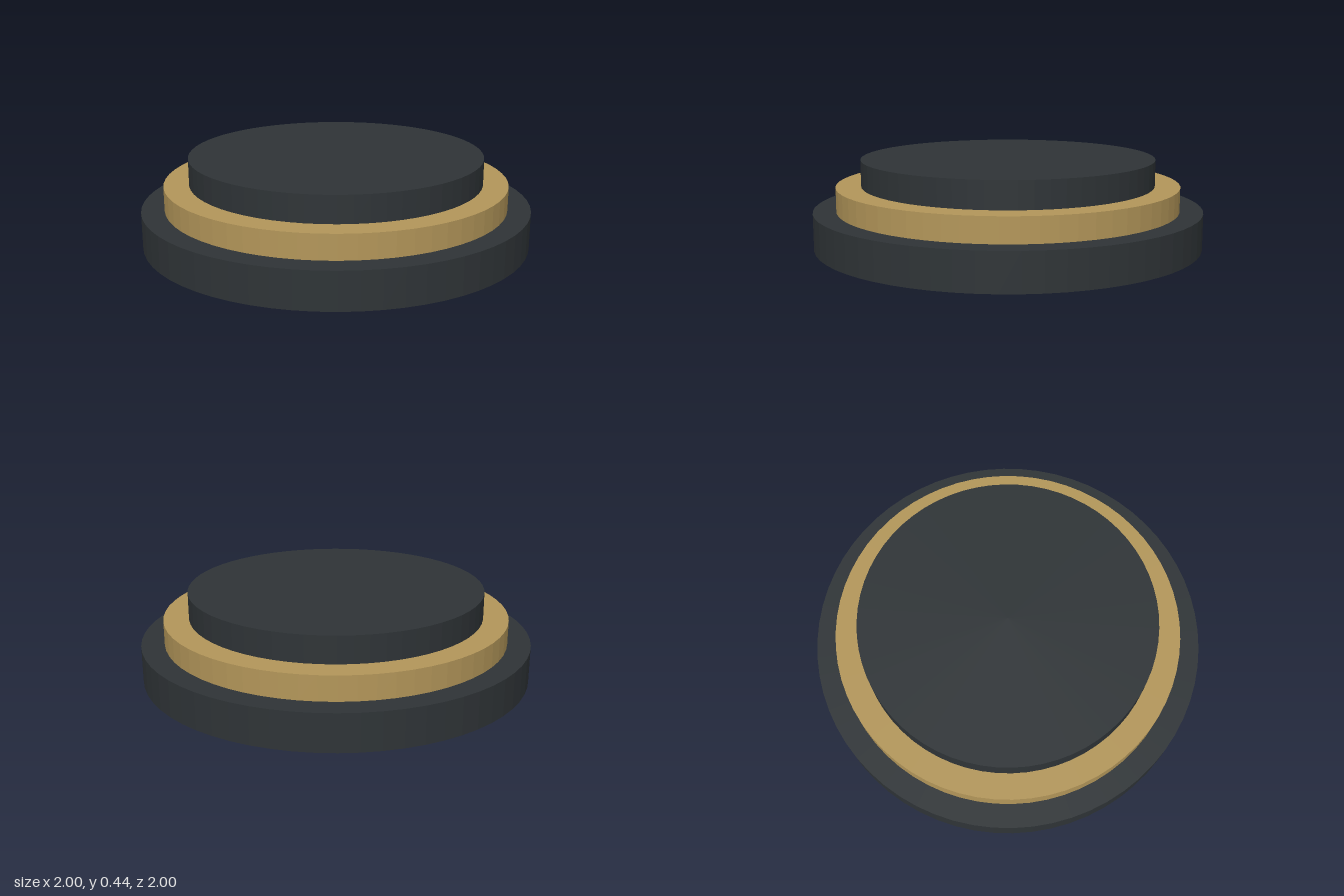
import * as THREE from 'three';

export function createModel() {
  const group = new THREE.Group();
  const dark = new THREE.MeshStandardMaterial({ color: 0x2f3437, flatShading: true });
  const gold = new THREE.MeshStandardMaterial({ color: 0xb4975a, flatShading: true });

  // Stacked round tiers: name, radius, bottom, top, material
  const tiers = [
    ['baseTier', 1, 0, 0.187, dark],
    ['goldBand', 0.883, 0.187, 0.31, gold],
    ['topTier', 0.755, 0.31, 0.445, dark],
  ];
  for (const [name, radius, bottom, top, material] of tiers) {
    const mesh = new THREE.Mesh(new THREE.CylinderGeometry(radius, radius, top - bottom, 64), material);
    mesh.name = name;
    mesh.position.y = (bottom + top) / 2;
    group.add(mesh);
  }
  return group;
}
